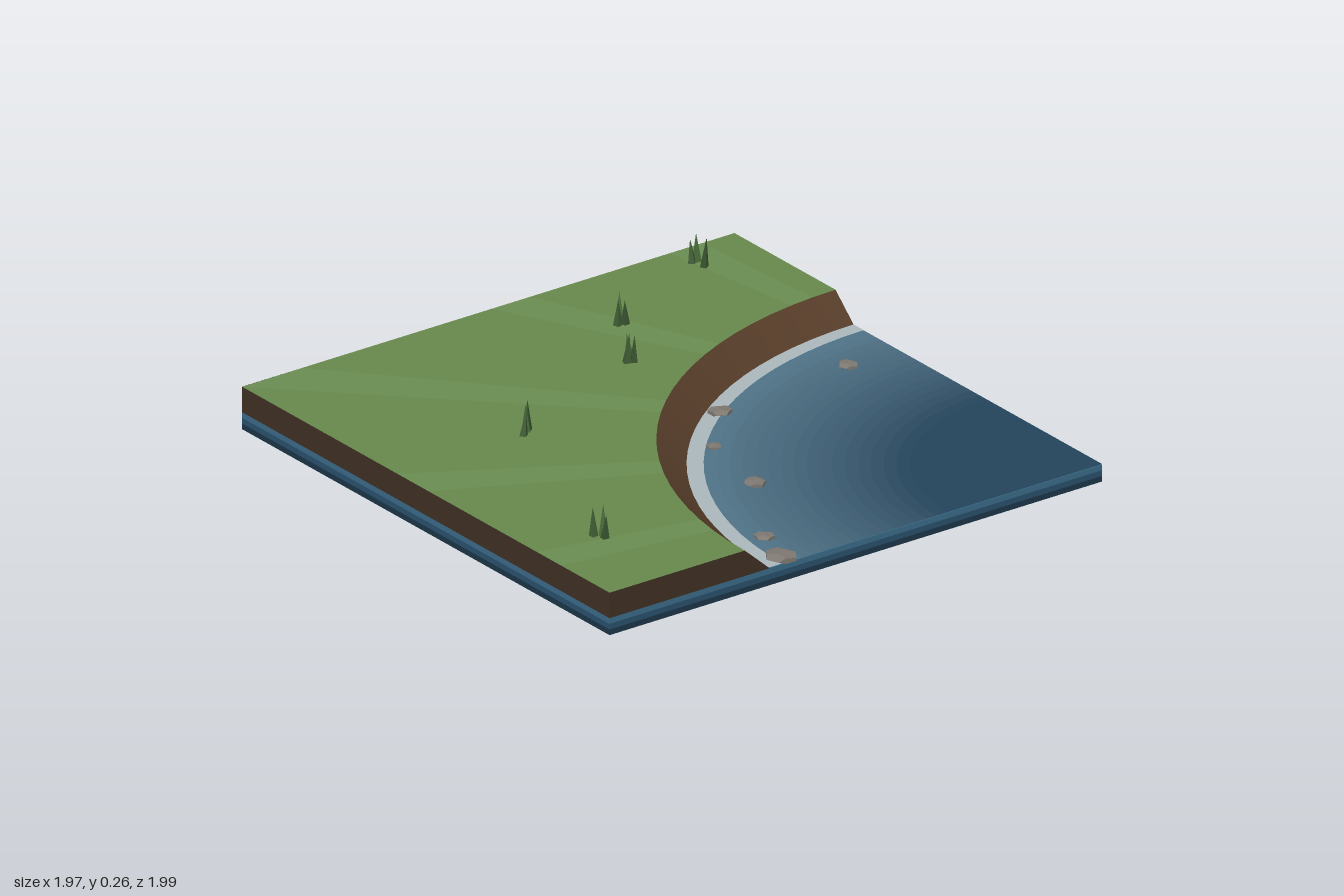
import * as THREE from 'three';

const X = 0.987, ZB = -1, ZF = 0.975;        // tile edges
const W = 2 * X, D = ZF - ZB, ZC = (ZF + ZB) / 2;
const WATER = 0.06, TOP = 0.15;              // levels
const R_TOP = 1.432, R_BOT = 1.332, R_FOAM = 1.28;
const SEG = 24;

const mat = (color) => new THREE.MeshStandardMaterial({ color, side: THREE.DoubleSide });
const flat = (color) => new THREE.MeshStandardMaterial({ color, flatShading: true });

export function createModel() {
  const model = new THREE.Group();
  const add = (name, geometry, material, parent = model) => {
    const mesh = new THREE.Mesh(geometry, material);
    mesh.name = name;
    parent.add(mesh);
    return mesh;
  };

  // Water slab: darker lower layers, lighter near the surface
  [0x1c3548, 0x28506c, 0x3a6a88].forEach((color, i) => {
    const h = WATER / 3;
    add('waterSlab', new THREE.BoxGeometry(W, h, D), flat(color)).position.set(0, h * (i + 0.5), ZC);
  });

  // Quarter rings round the front corner of the tile
  const quarterRing = (name, r0, r1, y, color) => {
    const g = new THREE.RingGeometry(r0, r1, SEG, 1, Math.PI / 2, Math.PI / 2).rotateX(-Math.PI / 2);
    add(name, g, mat(color)).position.set(X, y, ZF);
  };

  // Water surface, deep at the corner and paler towards the shore
  const deep = new THREE.Color(0x24435a), shallow = new THREE.Color(0x507386);
  const BANDS = 16, R_DEEP = 0.62;
  quarterRing('deepWater', 0, R_DEEP, WATER + 0.002, deep);
  for (let i = 0; i < BANDS; i++) {
    const step = (R_FOAM - R_DEEP) / BANDS, r = R_DEEP + i * step;
    const color = deep.clone().lerp(shallow, (i + 0.5) / BANDS);
    quarterRing('waterSurface', r, r + step, WATER + 0.002, color);
  }
  quarterRing('foamLine', R_FOAM, R_BOT + 0.003, WATER + 0.003, 0xa9b6ba);

  // Sloping earth bank
  const profile = [new THREE.Vector2(R_BOT, WATER), new THREE.Vector2(R_TOP, TOP)];
  add('bank', new THREE.LatheGeometry(profile, SEG, Math.PI, Math.PI / 2), mat(0x573d29))
    .position.set(X, 0, ZF);

  // Grass: one strip per bank segment, running out to the tile edge
  const edgePoint = (a) => {
    const c = Math.cos(a), s = Math.sin(a), t = Math.min(W / Math.max(c, 1e-6), D / Math.max(s, 1e-6));
    return [c * t, s * t];
  };
  for (let i = 0; i < SEG; i++) {
    const a0 = (i / SEG) * Math.PI / 2, a1 = ((i + 1) / SEG) * Math.PI / 2;
    const shape = new THREE.Shape();
    shape.moveTo(-R_TOP * Math.cos(a0), R_TOP * Math.sin(a0));
    const e0 = edgePoint(a0), e1 = edgePoint(a1);
    shape.lineTo(-e0[0], e0[1]);
    shape.lineTo(-e1[0], e1[1]);
    shape.lineTo(-R_TOP * Math.cos(a1), R_TOP * Math.sin(a1));
    const g = new THREE.ShapeGeometry(shape).rotateX(-Math.PI / 2);
    add('grass', g, mat(i % 5 === 2 ? 0x6a8c52 : 0x65874c)).position.set(X, TOP, ZF);
  }

  // Earth walls: two full sides and two cut ends following the bank slope
  const earth = mat(0x3f2f23);
  const wall = (name, len0, len1) => {
    const s = new THREE.Shape();
    s.moveTo(0, WATER);
    s.lineTo(len0, WATER);
    s.lineTo(len1, TOP);
    s.lineTo(0, TOP);
    return add(name, new THREE.ShapeGeometry(s), earth);
  };
  wall('frontEarthWall', W - R_BOT, W - R_TOP).position.set(-X, 0, ZF);
  wall('backEarthWall', W, W).position.set(-X, 0, ZB);
  const side = wall('leftEarthWall', D - R_BOT, D - R_TOP);
  side.rotation.y = -Math.PI / 2;
  side.position.set(X, 0, ZB);
  const far = wall('rightEarthWall', D, D);
  far.rotation.y = -Math.PI / 2;
  far.position.set(-X, 0, ZB);

  // Grass tufts: three leaning blades each, given as x, z of the blades
  const tufts = [
    [0.742, -0.9, 0.762, -0.9, 0.755, -0.852],
    [0.264, -0.657, 0.286, -0.672, 0.29, -0.652],
    [0.115, -0.41, 0.147, -0.438, 0.138, -0.402],
    [-0.485, -0.16, -0.462, -0.178, -0.45, -0.185],
    [-0.765, 0.592, -0.735, 0.6, -0.747, 0.628],
  ];
  tufts.forEach((p, t) => {
    const tuft = new THREE.Group();
    tuft.name = 'grassTuft';
    model.add(tuft);
    const cx = (p[0] + p[2] + p[4]) / 3, cz = (p[1] + p[3] + p[5]) / 3;
    for (let i = 0; i < 3; i++) {
      const h = 0.085 + 0.013 * ((i + t) % 3);
      const g = new THREE.ConeGeometry(0.016, h, 4).translate(0, h / 2, 0);
      const blade = add('blade', g, flat([0x3f5c33, 0x4a6b3a, 0x38532e][i]), tuft);
      const x = p[i * 2], z = p[i * 2 + 1];
      blade.position.set(x, TOP - 0.002, z);
      blade.rotation.set((z - cz) * 4, i * 0.7 + t, -(x - cx) * 4);
    }
  });

  // Flat rocks along the shore: x, z, radius, turn
  const rocks = [
    [0.78, -0.11, 0.036, 0.3], [0.235, -0.07, 0.042, 1.1], [0.06, 0.13, 0.027, 2],
    [0, 0.435, 0.039, 0], [-0.225, 0.785, 0.036, 0.8], [-0.275, 0.942, 0.058, 0.4],
  ];
  for (const [x, z, r, turn] of rocks) {
    const rock = add('rock', new THREE.DodecahedronGeometry(r), flat(0x7c766f));
    rock.position.set(x, WATER + 0.006 + r * 0.12, z);
    rock.scale.set(0.95, 0.28, 1.05);
    rock.rotation.y = turn;
  }
  return model;
}
